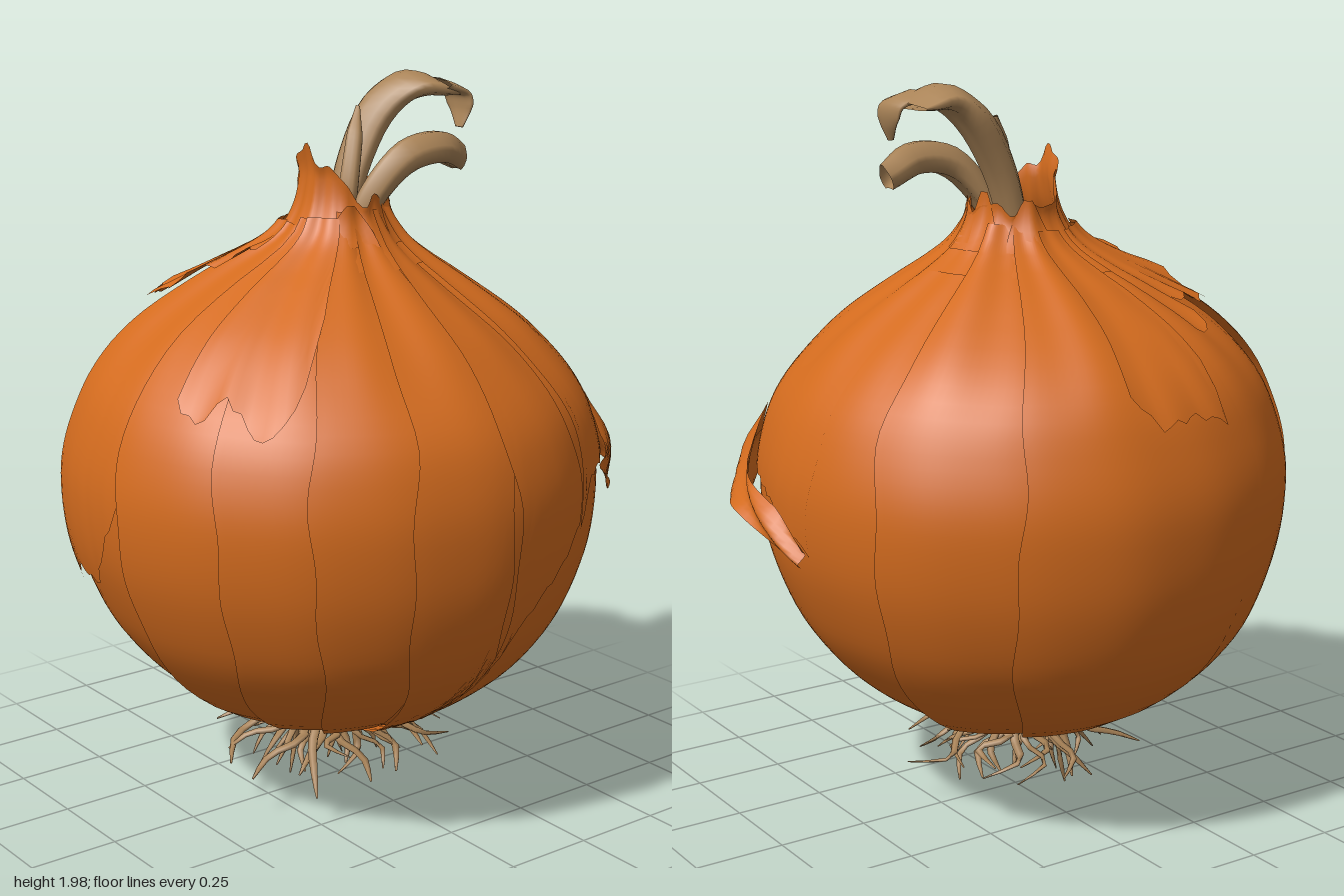
import * as THREE from 'three';
import { mergeVertices } from 'three/addons/utils/BufferGeometryUtils.js';

const RAD = Math.PI / 180;
const { lerp: mix, smoothstep } = THREE.MathUtils;
let seed = 11;
const rand = () => (seed = (seed * 16807) % 2147483647) / 2147483647;

// Piecewise-linear lookup: rows of [key, ...values]
function lookup(rows, key, col = 1) {
  if (key <= rows[0][0]) return rows[0][col];
  for (let i = 1; i < rows.length; i++) {
    const a = rows[i - 1], b = rows[i];
    if (key <= b[0]) return mix(a[col], b[col], (key - a[0]) / (b[0] - a[0]));
  }
  return rows[rows.length - 1][col];
}

// Smooth-shaded sheet from a rule (u, v) -> Vector3
function sheet(rule, nu, nv) {
  const pos = [], index = [];
  for (let j = 0; j <= nv; j++)
    for (let i = 0; i <= nu; i++) pos.push(...rule(i / nu, j / nv).toArray());
  for (let j = 0; j < nv; j++)
    for (let i = 0; i < nu; i++) {
      const a = j * (nu + 1) + i, b = a + 1, c = a + nu + 1, d = c + 1;
      index.push(a, b, d, a, d, c);
    }
  let g = new THREE.BufferGeometry();
  g.setAttribute('position', new THREE.Float32BufferAttribute(pos, 3));
  g.setIndex(index);
  g = mergeVertices(g, 1e-5);
  g.computeVertexNormals();
  return g;
}

// Bulb outline: radius against height
const outline = new THREE.SplineCurve([
  [0.15, 0.235], [0.25, 0.26], [0.38, 0.31], [0.505, 0.4], [0.595, 0.5], [0.653, 0.6],
  [0.703, 0.75], [0.72, 0.9], [0.71, 1.02], [0.667, 1.15], [0.6, 1.25], [0.495, 1.35],
  [0.345, 1.45], [0.26, 1.5], [0.185, 1.55], [0.14, 1.6], [0.11, 1.66], [0.09, 1.74],
].map(p => new THREE.Vector2(...p)));
const rows = outline.getSpacedPoints(160).map(p => [p.y, p.x]);
const radius = y => lookup(rows, y);

// Point on the bulb at angle a (degrees, 0 = front, 90 = +x), raised by off along the normal
function onBulb(a, y, off = 0) {
  const slope = (radius(y + 0.01) - radius(y - 0.01)) / 0.02;
  const n = 1 / Math.hypot(1, slope), t = a * RAD;
  const fold = smoothstep(y, 1.15, 1.6) * 0.05 + 0.004;
  const oval = 0.025 * (1 - smoothstep(y, 0.4, 0.9)) * Math.cos(2 * t);
  const r = radius(y) * (1 + oval + fold * (0.6 * Math.sin(9 * t + 1) + 0.4 * Math.sin(17 * t + 2 * y))) + off * n;
  const cx = -0.025 * (1 - smoothstep(y, 1.35, 1.6));
  const cz = -0.02 * smoothstep(y, 1.1, 1.3) * (1 - smoothstep(y, 1.45, 1.6));
  return new THREE.Vector3(cx + r * Math.sin(t), y - off * n * slope, cz + r * Math.cos(t));
}

// Papery skin piece with a ragged lower edge and wavy sides;
// off0/off1 raise its two sides, lift raises its hem
function skinPiece(a0, a1, off0, off1, top, hem, lift = 0) {
  const nu = Math.max(8, Math.round((a1 - a0) / 2));
  return sheet((u, v) => {
    const a = mix(a0, a1, u);
    const rag = hem.length > 1 ? 0.008 * Math.sin(a * 1.1) : 0;
    const y = mix(lookup(hem, a) + rag, top, v);
    const wave = 1.1 * Math.sin(7 * y + a0) + 0.6 * Math.sin(19 * y + a0);
    return onBulb(a + wave, y, mix(off0, off1, u) + lift * (1 - v) ** 3 * (0.6 + 0.4 * Math.sin(a * 0.5)));
  }, nu, 36);
}

// Hollow folded dry leaf along a path: rows of [position, width across z, thickness]
function leaf(points, size) {
  const path = new THREE.CatmullRomCurve3(points.map(p => new THREE.Vector3(...p)));
  return sheet((u, v) => {
    const p = path.getPoint(v), t = path.getTangent(v), f = u * Math.PI * 2;
    const wide = Math.cos(f) * lookup(size, v) / 2;
    const thick = Math.sin(f) * lookup(size, v, 2) / 2 * (1 + 0.25 * Math.sin(3 * f));
    p.x += t.y * thick;
    p.y -= t.x * thick;
    p.z += wide;
    return p;
  }, 14, 18);
}

// Tapered root strand
function root(points, thick) {
  const path = new THREE.CatmullRomCurve3(points);
  const side = new THREE.Vector3(), up = new THREE.Vector3();
  return sheet((u, v) => {
    const t = path.getTangent(v);
    side.set(-t.z, 0.001, t.x + 0.001).normalize();
    up.crossVectors(side, t).normalize();
    const r = thick * (1 - 0.8 * v ** 3), f = u * Math.PI * 2;
    return path.getPoint(v).addScaledVector(side, r * Math.cos(f)).addScaledVector(up, -r * 0.6 * Math.sin(f));
  }, 5, 7);
}

export function createModel() {
  const model = new THREE.Group();
  const orangeSkin = new THREE.MeshStandardMaterial({ color: 0xd36b1e, side: THREE.DoubleSide });
  orangeSkin.name = 'orange skin';
  const dryTan = new THREE.MeshStandardMaterial({ color: 0xa98357, side: THREE.DoubleSide });
  dryTan.name = 'dry tan';
  const add = (name, geometry, material, parent = model) => {
    const m = new THREE.Mesh(geometry, material);
    m.name = name;
    parent.add(m);
  };

  // Bulb, closed at both ends
  add('bulb', sheet((u, v) => {
    const y = 0.235 + (1.64 - 0.235) * (1 - Math.cos(v * Math.PI)) / 2;
    const p = onBulb(u * 360, y);
    if (v === 0 || v === 1) p.set(v ? 0 : -0.025, y, 0);
    return p;
  }, 120, 60), orangeSkin);

  // Overlapping skin layers: [from, to, raise, raise, top, hem, lift]
  const skins = new THREE.Group();
  skins.name = 'skinLayers';
  model.add(skins);
  const full = [[0, 0.26]];
  [
    [-20, 3, 0.014, 0.004, 1.64, [[-20, 0.26], [-5, 0.26], [3, 0.5]]],
    [2, 27, 0.016, 0.003, 1.64, [[2, 0.5], [6, 0.64], [11, 0.7], [20, 0.78], [27, 0.86]]],
    [25, 96, 0.02, 0.002, 1.64, [[25, 0.85], [30, 0.97], [45, 1], [60, 0.97], [80, 0.93], [96, 0.82]]],
    [115, 147, 0.018, 0.003, 1.62, full],
    [145, 202, 0.014, 0.001, 1.62, full],
    [-115, -84, 0.02, 0.004, 1.6, [[-115, 0.66], [-108, 0.72], [-98, 0.7], [-90, 0.85], [-84, 0.95]]],
    [-85, -58, 0.012, 0.003, 1.62, full],
    [-60, -38, 0.014, 0.003, 1.62, full],
    [-40, -18, 0.014, 0.002, 1.64, full],
    // loose torn flaps on the shoulder
    [-72, -38, 0.02, 0.02, 1.62, [[-72, 1.22], [-66, 1.18], [-60, 1.24], [-50, 1.15], [-44, 1.22], [-38, 1.4]], 0.012],
    [169, 197, 0.018, 0.012, 1.6, [[169, 1.25], [175, 1.17], [185, 1.19], [193, 1.16], [197, 1.3]], 0.01],
    [-157, -92, 0.012, 0.03, 1.6, [[-157, 1.39], [-153, 1.34], [-141, 1.41], [-122, 1.38], [-110, 1.45], [-92, 1.52]], 0.02],
  ].forEach(s => add('skinLayer', skinPiece(...s), orangeSkin, skins));

  // Peeled scrap curling away on the left side: angle, top, bottom, raise
  const scrap = [[42, 1, 0.93, 0.01], [50, 1.02, 0.87, 0.03], [57, 1.12, 0.86, 0.045], [65, 1, 0.89, 0.06],
    [75, 0.96, 0.89, 0.065], [86, 0.92, 0.84, 0.04], [95, 0.83, 0.79, 0.01]];
  add('peeledScrap', sheet((u, v) => {
    const a = mix(42, 95, u);
    const y = mix(lookup(scrap, a, 2), lookup(scrap, a, 1), v);
    return onBulb(a, y, 0.015 + lookup(scrap, a, 3) * (1 - 0.7 * v) + 0.012 * Math.sin(v * 6 + a * 0.2));
  }, 28, 8), orangeSkin);

  // Torn collar around the neck, tallest on the right and back
  add('neckCollar', sheet((u, v) => {
    const a = u * 360;
    const tall = Math.max(0, Math.cos(a * RAD + 1.6)) ** 1.5;
    const top = 1.66 + 0.14 * tall + 0.015 * Math.sin(7 * a * RAD) + 0.008 * Math.sin(12 * a * RAD);
    return onBulb(a, mix(1.5, top, v), 0.006 + 0.016 * v ** 6);
  }, 72, 14), orangeSkin);
  // Pointed shreds standing off the neck
  for (const [a, h] of [[38, 0.14], [75, 0.13], [160, 0.13], [-25, 0.1], [105, 0.15]])
    add('neckShred', sheet((u, v) =>
      onBulb(a + (u - 0.5) * 46 * (1 - 0.8 * v * v), 1.55 + h * v, 0.01 + 0.02 * v * v), 6, 8), orangeSkin);

  // Dry leaves bending to the left
  const leaves = new THREE.Group();
  leaves.name = 'dryLeaves';
  model.add(leaves);
  add('tallLeaf', leaf([[0, 1.56, -0.01], [0.06, 1.75, -0.02], [0.145, 1.895, -0.015], [0.215, 1.95, 0.02], [0.31, 1.93, 0.04]],
    [[0, 0.11, 0.06], [0.4, 0.13, 0.08], [0.75, 0.19, 0.07], [0.9, 0.22, 0.045], [1, 0.2, 0.015]]), dryTan, leaves);
  add('leafTip', leaf([[0.26, 1.955, 0.08], [0.32, 1.93, 0.1], [0.325, 1.89, 0.11], [0.31, 1.84, 0.125]],
    [[0, 0.14, 0.03], [0.6, 0.11, 0.02], [1, 0.03, 0.01]]), dryTan, leaves);
  add('lowLeaf', leaf([[0, 1.56, 0.05], [0.06, 1.69, 0.085], [0.14, 1.77, 0.11], [0.25, 1.785, 0.11], [0.355, 1.745, 0.075]],
    [[0, 0.08, 0.06], [0.5, 0.09, 0.08], [0.85, 0.1, 0.08], [1, 0.06, 0.07]]), dryTan, leaves);
  add('innerLeaf', leaf([[-0.015, 1.56, 0.03], [0, 1.7, 0.04], [0.035, 1.82, 0.02], [0.07, 1.9, -0.01]],
    [[0, 0.07, 0.05], [0.7, 0.05, 0.04], [1, 0.015, 0.01]]), dryTan, leaves);

  // Root plate and tangled roots
  const plate = new THREE.SphereGeometry(0.13, 20, 10);
  plate.scale(1, 0.3, 1);
  plate.translate(-0.03, 0.235, 0);
  add('rootPlate', plate, dryTan);
  const roots = new THREE.Group();
  roots.name = 'roots';
  model.add(roots);
  for (let i = 0; i < 54; i++) {
    const a = i * 2.39996, start = 0.14 * Math.sqrt((i + 0.5) / 54);
    const reach = start + 0.03 + 0.22 * rand() * (0.35 + start * 5);
    const drop = i === 20 ? 0.008 : mix(0.04, 0.18, Math.min(1, 0.7 * rand() + start * 2.2));
    const at = (r, y, wob) => new THREE.Vector3(-0.03 + r * Math.sin(a + wob), y, r * Math.cos(a + wob));
    add('root', root([
      at(start, 0.245, 0),
      at(mix(start, reach, 0.35), mix(0.225, drop, 0.25), (rand() - 0.5) * 0.4),
      at(mix(start, reach, 0.7), mix(0.225, drop, 0.6), (rand() - 0.5) * 0.5),
      at(reach, drop, (rand() - 0.5) * 0.5),
    ], 0.011 + 0.006 * rand()), dryTan, roots);
  }
  return model;
}
